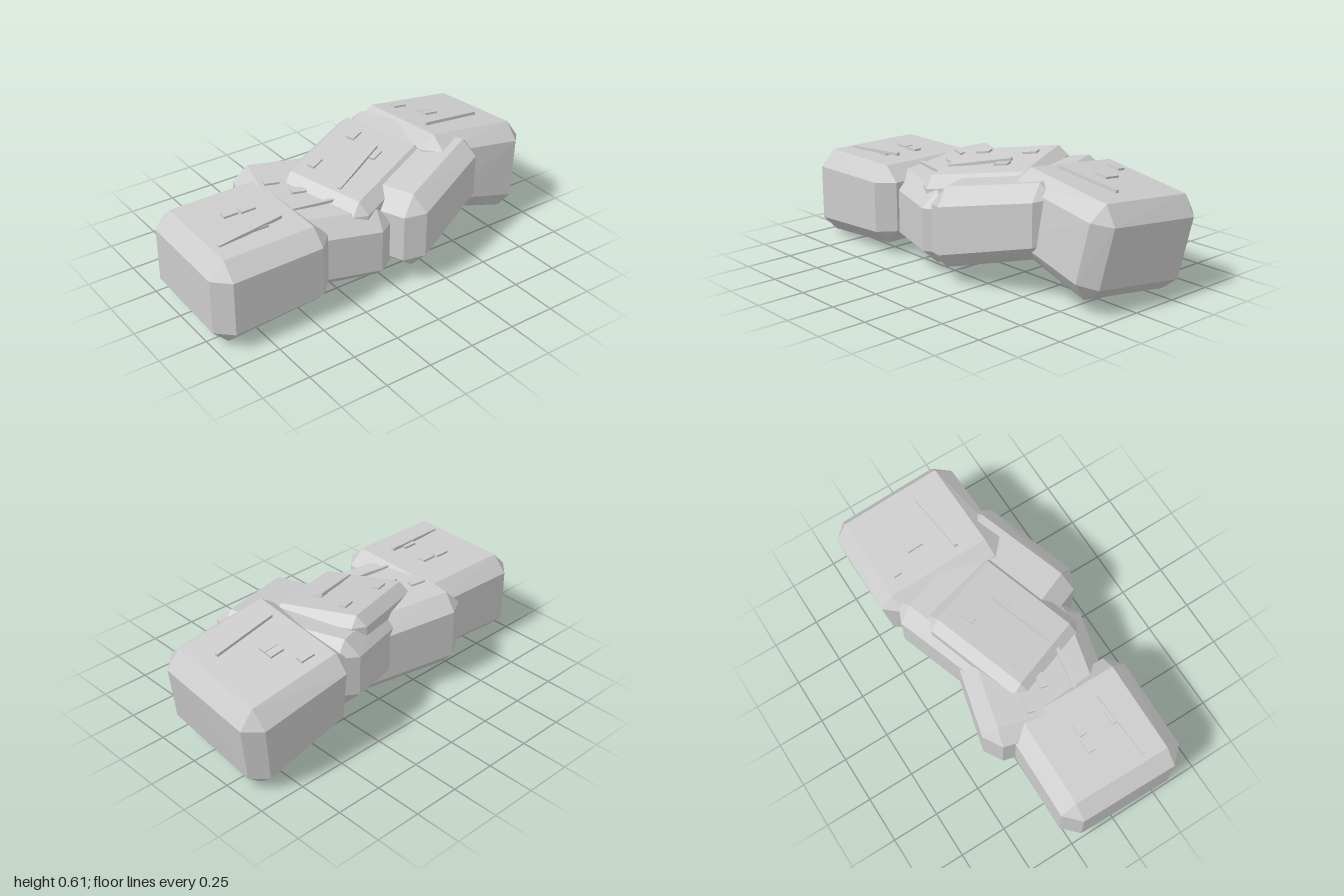
import * as THREE from 'three';
import { ConvexGeometry } from 'three/addons/geometries/ConvexGeometry.js';

const material = new THREE.MeshStandardMaterial({ color: 0xcccccc, flatShading: true });
const chipGeometry = new THREE.BoxGeometry(0.078, 0.02, 0.042);
const stickGeometry = new THREE.BoxGeometry(0.36, 0.016, 0.018);
const up = new THREE.Vector3(0, 1, 0);

function addMesh(parent, name, geometry, x = 0, y = 0, z = 0) {
  const mesh = new THREE.Mesh(geometry, material);
  mesh.name = name;
  mesh.position.set(x, y, z);
  parent.add(mesh);
  return mesh;
}

// Block with sloping top and bottom planes and every edge and corner cut back.
// A plane is [height at centre, slope along x, slope along z];
// foot is [x shift, z shift, width scale] of the bottom outline.
function rockGeometry({ size: [w, d], top, bottom, foot = [0, 0, 1], bevel = 0.08 }) {
  const planeY = ([y, sx, sz], x, z) => y + sx * x + sz * z;
  const cut = [w, top[0] - bottom[0], d].map((s) => 1 - (2 * bevel) / s);
  const points = [];
  for (const sx of [-1, 1]) for (const sy of [-1, 1]) for (const sz of [-1, 1]) {
    // One point per adjoining face: full reach on that axis, cut back on the others
    for (let face = 0; face < 3; face++) {
      const [u, v, t] = [sx, sy, sz].map((s, axis) => (axis === face ? s : s * cut[axis]));
      const x = (u * w) / 2, z = (t * d) / 2, low = (1 - v) / 2;
      const y = THREE.MathUtils.lerp(planeY(top, x, z), planeY(bottom, x, z), low);
      points.push(new THREE.Vector3(
        x * THREE.MathUtils.lerp(1, foot[2], low) + foot[0] * low, y, z + foot[1] * low));
    }
  }
  return new ConvexGeometry(points);
}

// One rock with the chips [x, z] and the stick [x, z, yaw, pitch] lying on its top
function makeRock(name, spec) {
  const { at, yaw, top, chips = [], stick } = spec;
  const group = new THREE.Group();
  group.name = name;
  group.position.set(at[0], 0, at[1]);
  group.rotation.y = yaw;
  addMesh(group, 'rock', rockGeometry(spec));

  const deck = new THREE.Group();
  deck.name = 'topDetails';
  deck.position.y = top[0];
  deck.quaternion.setFromUnitVectors(up, new THREE.Vector3(-top[1], 1, -top[2]).normalize());
  for (const [x, z] of chips) addMesh(deck, 'chip', chipGeometry, x, 0.001, z);
  if (stick) {
    const [x, z, turn, pitch] = stick;
    addMesh(deck, 'stick', stickGeometry, x, 0.01, z).rotation.set(0, turn, pitch, 'YXZ');
  }
  group.add(deck);
  return group;
}

export function createModel() {
  const model = new THREE.Group();
  model.name = 'rockLedge';
  model.add(
    makeRock('rightEndRock', {
      at: [-0.677, 0.07], size: [0.645, 0.685], yaw: -0.015,
      top: [0.472, 0.01, 0], bottom: [0.04, 0.08, -0.02],
      chips: [[-0.028, -0.06], [0.062, -0.05], [0.032, 0.12]],
      stick: [-0.028, 0.135, 0.09, 0.05],
    }),
    makeRock('rightInnerRock', {
      at: [-0.23, 0.002], size: [0.655, 0.685], yaw: -0.25,
      top: [0.457, -0.07, -0.08], bottom: [0.058, -0.04, -0.02],
      chips: [[-0.183, -0.084], [-0.075, 0.018]],
      stick: [0, 0.153, 0.07, 0.05],
    }),
    makeRock('leftInnerRock', {
      at: [0.225, 0.02], size: [0.655, 0.77], yaw: 0.378,
      top: [0.527, 0.16, 0.01], bottom: [0.138, 0.24, 0],
    }),
    makeRock('leftEndRock', {
      at: [0.686, -0.125], size: [0.66, 0.7], yaw: -0.015,
      top: [0.545, -0.14, 0.1], bottom: [0.102, -0.27, 0.14], foot: [-0.045, 0.055, 0.88],
      chips: [[-0.133, -0.19], [-0.053, -0.065], [-0.053, -0.02]],
      stick: [-0.023, 0.12, 0.09, 0],
    }),
    makeRock('cappingRock', {
      at: [0.03, 0], size: [0.62, 0.52], yaw: 0.36, bevel: 0.055,
      top: [0.538, 0.16, -0.1], bottom: [0.333, 0.16, -0.1],
      chips: [[-0.14, -0.138], [0.154, -0.097], [0.078, 0.077]],
      stick: [-0.056, 0.065, 0.05, 0.05],
    }),
  );
  return model;
}
